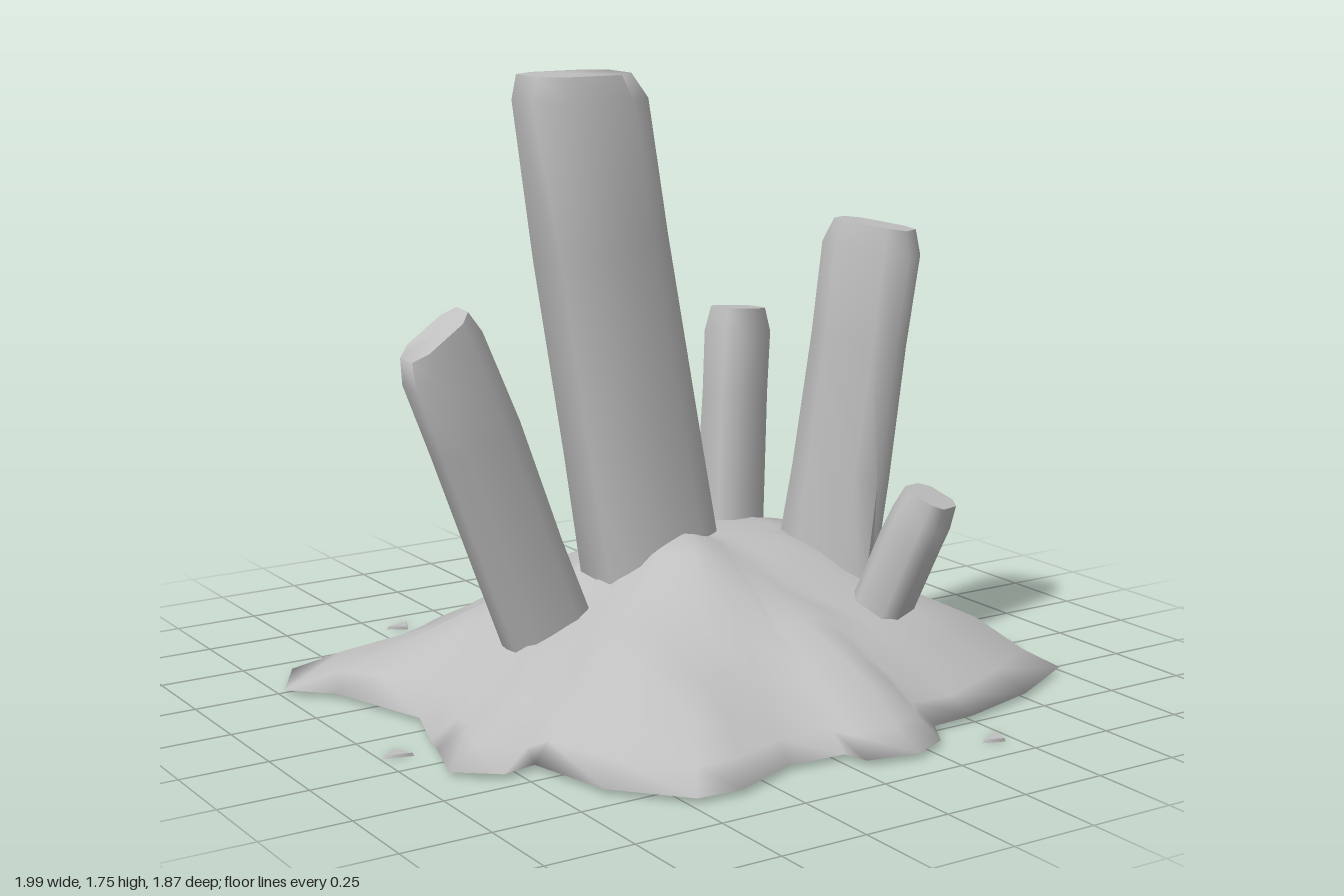
import * as THREE from 'three';
import { toCreasedNormals } from 'three/addons/utils/BufferGeometryUtils.js';

// Repeatable noise in -1..1
const noise = (a, b) => {
  const s = Math.sin(a * 127.1 + b * 311.7) * 43758.5453;
  return (s - Math.floor(s)) * 2 - 1;
};

// Smooth lumps across the ground, and a knob in front of the main crystal
const lumps = (x, z) => 0.6 * Math.sin(9 * x + 3 * z + 1) * Math.sin(8 * z - 4 * x) + 0.4 * Math.sin(17 * x - 5 * z) * Math.sin(15 * z + 6 * x);
const knob = (x, z) => 0.06 * Math.exp(-((x + 0.04) ** 2 + (z - 0.1) ** 2) / 0.012);

// Ragged ground outline as [x, z]
const outline = [
  [0.9, 0], [0.88, 0.1], [0.93, 0.2], [0.94, 0.3], [0.91, 0.42], [0.99, 0.54],
  [0.75, 0.67], [0.5, 0.74], [0.36, 0.75], [0.3, 0.85], [0.19, 0.9], [0.04, 0.87],
  [0.02, 0.8], [-0.15, 0.79], [-0.35, 0.87], [-0.48, 0.86], [-0.64, 0.68], [-0.7, 0.43],
  [-0.8, 0.45], [-0.91, 0.36], [-0.86, 0.2], [-0.84, 0.12], [-0.78, -0.06], [-0.88, -0.37],
  [-0.99, -0.48], [-0.89, -0.65], [-0.7, -0.67], [-0.51, -0.69], [-0.43, -0.79], [-0.06, -0.89],
  [0.04, -0.76], [0.2, -0.82], [0.51, -0.88], [0.54, -0.78], [0.68, -0.69], [0.72, -0.48],
  [0.94, -0.38], [0.88, -0.2],
];

// Mound from the top outwards, then back in along the flat underside:
// [fraction of the way to the outline, height, roughness]
const slope = [
  [0.08, 0.415, 0.01], [0.17, 0.4, 0.02], [0.27, 0.37, 0.03], [0.4, 0.32, 0.035], [0.54, 0.26, 0.035],
  [0.68, 0.195, 0.035], [0.81, 0.125, 0.03], [0.92, 0.06, 0.015], [1, 0.015, 0], [0.93, 0.005, 0], [0.5, 0.005, 0],
];

function moundGeometry() {
  const cx = 0.1, cz = -0.04, n = outline.length, rings = slope.length;
  const pos = [cx, 0.42, cz], index = [];
  slope.forEach(([t, h, rough], r) => {
    outline.forEach(([ox, oz], i) => {
      const angle = Math.atan2(oz - cz, ox - cx), edge = Math.hypot(ox - cx, oz - cz);
      // inner rings are rounder than the rim
      const radius = t * THREE.MathUtils.lerp(0.87, edge, t * t) * (rough ? 1 + 0.02 * noise(r, i + 9) : 1);
      const x = cx + Math.cos(angle) * radius, z = cz + Math.sin(angle) * radius;
      const bulge = 0.06 * Math.sin(Math.PI * t) * Math.max(0, Math.cos(angle));
      pos.push(x, rough ? h + bulge + rough * lumps(x, z) + knob(x, z) : h, z);
    });
  });
  const under = pos.length / 3;
  pos.push(cx, 0.005, cz);
  const last = 1 + (rings - 1) * n;
  for (let i = 0; i < n; i++) {
    const j = (i + 1) % n;
    index.push(0, 1 + j, 1 + i, under, last + i, last + j);
    for (let r = 0; r < rings - 1; r++) {
      const a = 1 + r * n, b = a + n;
      index.push(a + i, a + j, b + i, a + j, b + j, b + i);
    }
  }
  const g = new THREE.BufferGeometry();
  g.setAttribute('position', new THREE.Float32BufferAttribute(pos, 3));
  g.setIndex(index);
  g.computeVertexNormals();
  return g;
}

// Chamfered column leaning from base to tip, with a blunt bevelled end
function crystalGeometry({ base, tip, width, depth, yaw = 0, tilt = 0 }, seed) {
  const from = new THREE.Vector3(...base), to = new THREE.Vector3(...tip);
  const axis = to.clone().sub(from), len = axis.length();
  const profile = [[0, 0], [1.1, 0], [1.04, len * 0.35], [1, len * 0.7], [0.98, len - 0.07], [0.76, len], [0, len]]
    .map(([r, y]) => new THREE.Vector2(r, y));
  const g = new THREE.LatheGeometry(profile, 8, Math.PI / 8);
  const p = g.attributes.position;
  const boxy = (v) => Math.sign(v) * Math.abs(v) ** 0.65;
  for (let i = 0; i < p.count; i++) {
    const ring = i % profile.length, side = Math.floor(i / profile.length) % 8;
    const k = 1.05 + 0.05 * noise(side + seed * 8, ring);
    const x = boxy(p.getX(i)) * k * width / 2;
    const y = p.getY(i) + (ring >= 4 ? x * tilt : 0);
    p.setXYZ(i, x, y, boxy(p.getZ(i)) * k * depth / 2);
  }
  g.rotateY(yaw);
  g.applyQuaternion(new THREE.Quaternion().setFromUnitVectors(new THREE.Vector3(0, 1, 0), axis.normalize()));
  g.translate(from.x, from.y, from.z);
  return toCreasedNormals(g, 1.2);
}

const crystals = {
  mainCrystal: { base: [0, 0.15, -0.06], tip: [-0.29, 1.745, -0.035], width: 0.35, depth: 0.235, tilt: -0.18 },
  shoulderCrystal: { base: [0.05, 0.2, -0.08], tip: [-0.13, 1.38, -0.07], width: 0.19, depth: 0.19, tilt: -0.4 },
  leaningCrystal: { base: [-0.365, 0.1, -0.01], tip: [-0.765, 1.09, 0.042], width: 0.24, depth: 0.145, tilt: 0.25 },
  tallSideCrystal: { base: [0.43, 0.2, 0.135], tip: [0.53, 1.31, 0.225], width: 0.145, depth: 0.265, yaw: 0.52 },
  backCrystal: { base: [0.285, 0.2, -0.14], tip: [0.355, 1.03, -0.19], width: 0.18, depth: 0.15, yaw: 0.15 },
  smallFrontCrystal: { base: [0.44, 0.12, 0.33], tip: [0.54, 0.575, 0.49], width: 0.15, depth: 0.155, yaw: 0.4 },
};

// Loose chips: [x, z, turn]
const chips = [[-0.42, -0.89, 0.3], [0.21, -0.925, 2.6], [-0.95, 0.14, 2.9], [0.45, 0.89, 0.5]];

export function createModel() {
  const model = new THREE.Group();
  const stone = new THREE.MeshStandardMaterial({ color: 0xbfbfbf });
  stone.name = 'stone grey';
  const add = (name, geometry) => {
    const mesh = new THREE.Mesh(geometry, stone);
    mesh.name = name;
    model.add(mesh);
    return mesh;
  };

  add('mound', moundGeometry());
  Object.entries(crystals).forEach(([name, spec], i) => add(name, crystalGeometry(spec, i + 1)));

  // Thin triangular chips around the rim
  for (const [x, z, turn] of chips) {
    const chip = add('chip', new THREE.CylinderGeometry(0.045, 0.05, 0.009, 3).scale(1, 1, 0.65));
    chip.position.set(x, 0.005, z);
    chip.rotation.y = turn;
  }
  return model;
}
